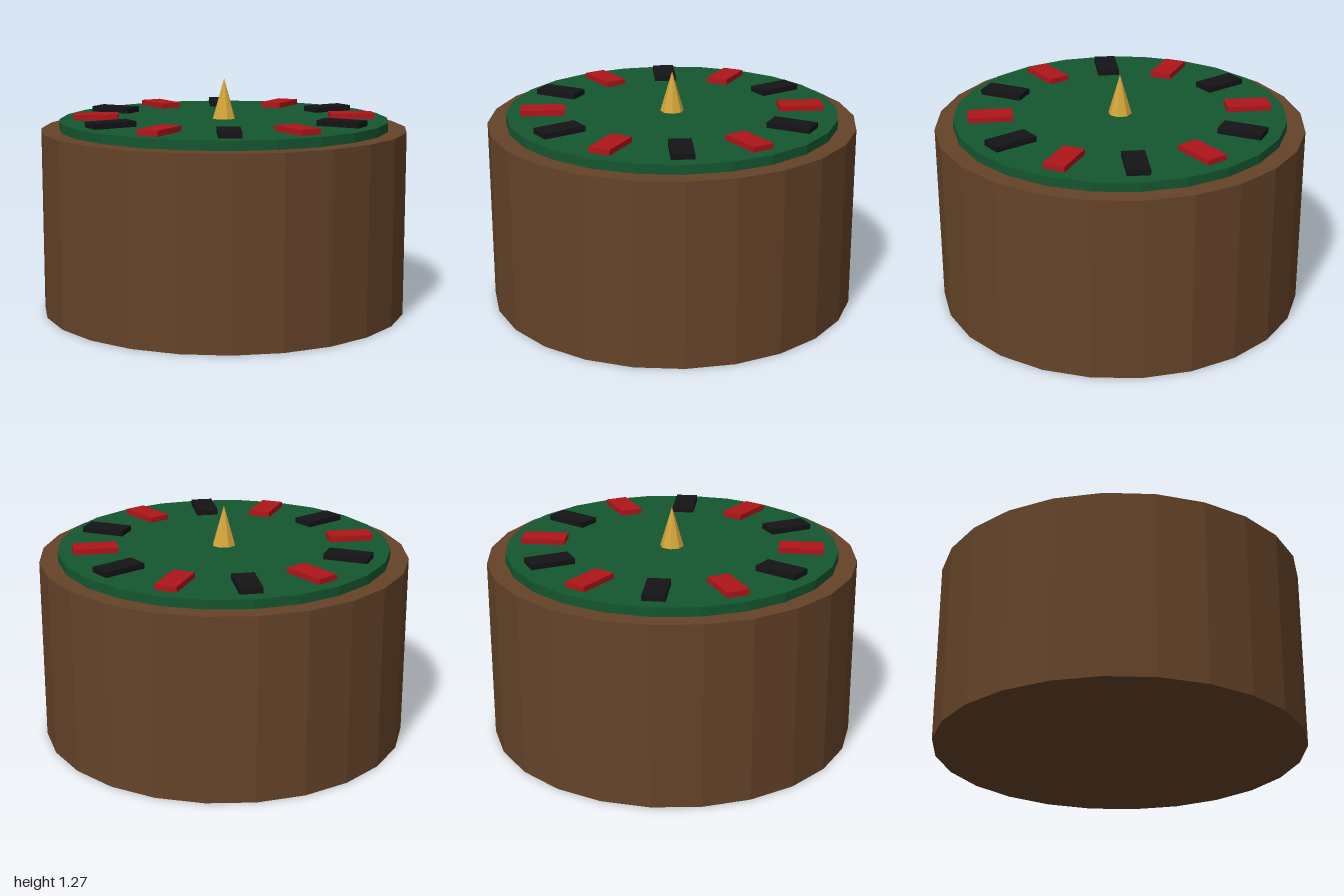
import * as THREE from 'three';

const paint = (color) => new THREE.MeshStandardMaterial({ color, flatShading: true });

function addPart(parent, name, geometry, material, y) {
  const mesh = new THREE.Mesh(geometry, material);
  mesh.name = name;
  mesh.position.y = y;
  parent.add(mesh);
  return mesh;
}

export function createModel() {
  const model = new THREE.Group();
  model.name = 'roundTable';

  // Wooden drum with a raised felt disc
  addPart(model, 'drumBase', new THREE.CylinderGeometry(1, 1, 1, 24), paint(0x654328), 0.5);
  addPart(model, 'feltTop', new THREE.CylinderGeometry(0.9, 0.9, 0.05, 24), paint(0x14562f), 1.025);

  // Twelve radial tiles, alternating black and red
  const tiles = new THREE.Group();
  tiles.name = 'tiles';
  model.add(tiles);
  const tileGeometry = new THREE.BoxGeometry(0.24, 0.03, 0.12);
  const black = paint(0x141416);
  const red = paint(0xb0151a);
  for (let i = 0; i < 12; i++) {
    const angle = (i * Math.PI) / 6;
    const tile = addPart(tiles, i % 2 ? 'redTile' : 'blackTile', tileGeometry, i % 2 ? red : black, 1.065);
    tile.position.x = 0.7 * Math.cos(angle);
    tile.position.z = -0.7 * Math.sin(angle);
    tile.rotation.y = angle;
  }

  // Golden spike in the middle
  addPart(model, 'centreSpike', new THREE.ConeGeometry(0.064, 0.22, 8), paint(0xd4a53a), 1.16);

  return model;
}
